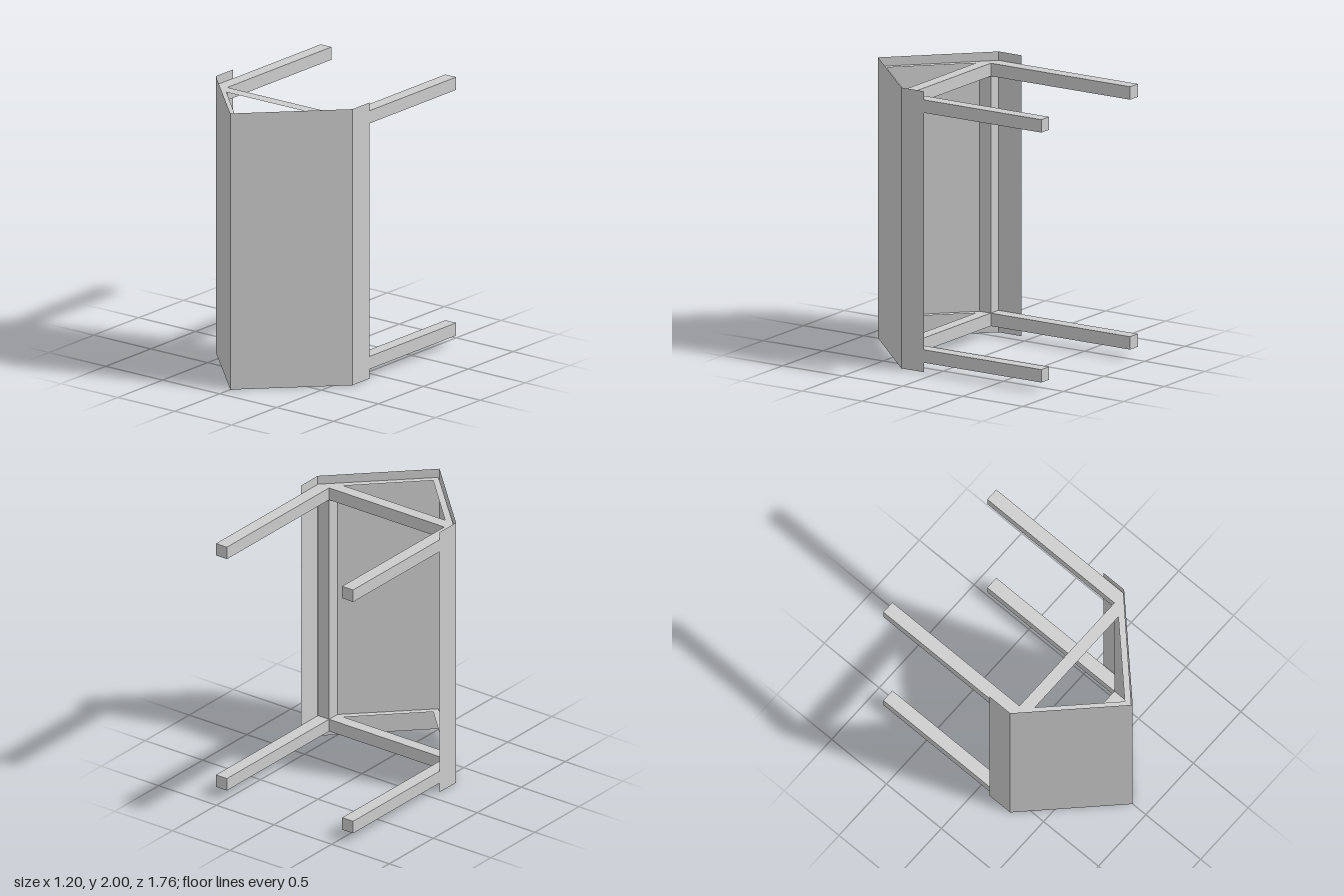
import * as THREE from 'three';

const mat = new THREE.MeshStandardMaterial({ color: 0xcccccc, flatShading: true });
const sheetMat = new THREE.MeshStandardMaterial({ color: 0xcccccc, flatShading: true, side: THREE.DoubleSide });

// Plan points are [x, z]; the outline is extruded upward from y = 0.
const toPlan = (pts) => pts.map(([x, z]) => new THREE.Vector2(x, -z));

function extrudePlan(outline, height, hole) {
  const shape = new THREE.Shape(toPlan(outline));
  if (hole) shape.holes.push(new THREE.Path(toPlan(hole)));
  const geo = new THREE.ExtrudeGeometry(shape, { depth: height, bevelEnabled: false });
  return geo.rotateX(-Math.PI / 2);
}

function add(group, name, geo, material, x = 0, y = 0, z = 0) {
  const mesh = new THREE.Mesh(geo, material);
  mesh.name = name;
  mesh.position.set(x, y, z);
  group.add(mesh);
  return mesh;
}

export function createModel() {
  const group = new THREE.Group();
  group.name = 'wedgePanelOnBrackets';

  const W = 0.595, IN = 0.5, CORNER = 0.28, APEX = 0.868, BACK = -0.88;
  const barH = 0.092, lowY = 0.066, highY = 1.846;

  // Two flat brackets: a pair of arms, a cross bar and a pointed nose
  const outline = [
    [-W, BACK], [-IN, BACK], [-IN, CORNER], [IN, CORNER], [IN, BACK],
    [W, BACK], [W, CORNER], [0, APEX], [-W, CORNER],
  ];
  const opening = [[-0.44, 0.368], [0.44, 0.368], [0, 0.808]];
  const bracketGeo = extrudePlan(outline, barH, opening);
  add(group, 'lowerBracket', bracketGeo, mat, 0, lowY);
  add(group, 'upperBracket', bracketGeo, mat, 0, highY);

  // Triangular posts joining the brackets at the two corners
  const postH = highY - lowY - barH;
  for (const [side, name] of [[1, 'leftPost'], [-1, 'rightPost']]) {
    const tri = [[side * W, CORNER], [side * IN, CORNER], [side * IN, CORNER + W - IN]];
    add(group, name, extrudePlan(tri, postH), mat, 0, lowY + barH);
  }

  // Thin folded sheet: side flange, two sloped faces, side flange
  const fold = [[-0.6, 0.093], [-0.6, 0.282], [0, 0.88], [0.6, 0.282], [0.6, 0.093]];
  const names = ['rightFlange', 'rightFace', 'leftFace', 'leftFlange'];
  names.forEach((name, i) => {
    const [x0, z0] = fold[i], [x1, z1] = fold[i + 1];
    const geo = new THREE.PlaneGeometry(Math.hypot(x1 - x0, z1 - z0), 2);
    const panel = add(group, name, geo, sheetMat, (x0 + x1) / 2, 1, (z0 + z1) / 2);
    panel.rotation.y = -Math.atan2(z1 - z0, x1 - x0);
  });

  return group;
}
